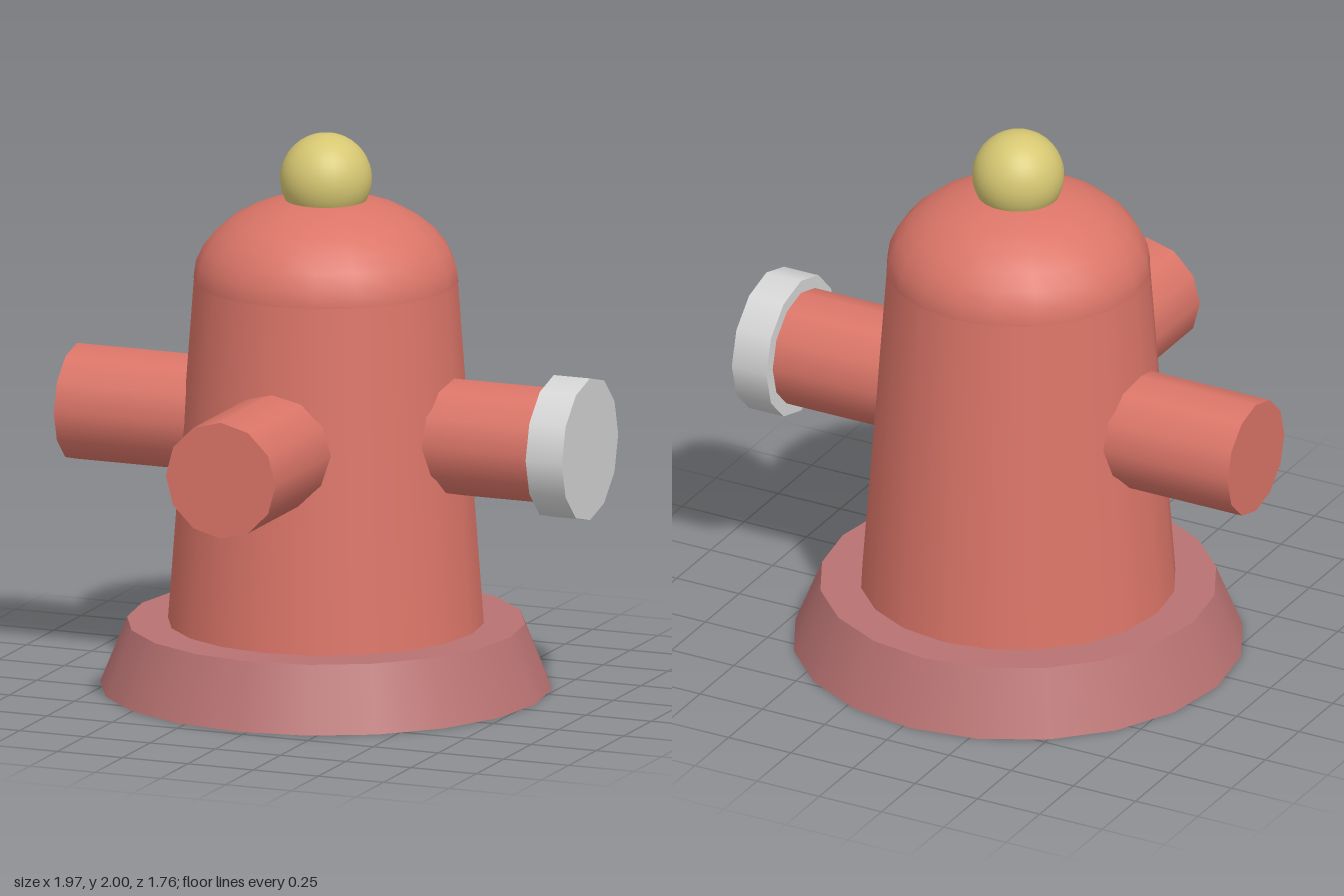
import * as THREE from 'three';

const flat = (name, color) => {
  const m = new THREE.MeshStandardMaterial({ color });
  m.name = name;
  return m;
};

export function createModel() {
  const red = flat('hydrant red', 0xdb7568);
  const rose = flat('base rose', 0xb97272);
  const brass = flat('knob yellow', 0xd6c772);
  const steel = flat('cap grey', 0xd6d6d6);

  const group = new THREE.Group();
  group.name = 'hydrant';
  // All parts share one vertical axis, set slightly off centre
  group.position.set(-0.03, 0, -0.08);

  const add = (name, geometry, material, x = 0, y = 0, z = 0) => {
    const mesh = new THREE.Mesh(geometry, material);
    mesh.name = name;
    mesh.position.set(x, y, z);
    group.add(mesh);
    return mesh;
  };

  // Flared foot and tapering barrel
  add('base', new THREE.CylinderGeometry(0.705, 0.8, 0.235, 20), rose, 0, 0.1175);
  add('barrel', new THREE.CylinderGeometry(0.468, 0.56, 1.235, 20), red, 0, 0.8525);

  // Squashed half sphere on top of the barrel
  const dome = new THREE.SphereGeometry(0.47, 20, 8, 0, Math.PI * 2, 0, Math.PI / 2);
  dome.scale(1, 0.31 / 0.47, 1);
  add('dome', dome, red, 0, 1.47);

  // Ball knob
  add('knob', new THREE.SphereGeometry(0.163, 32, 20), brass, 0, 1.837);

  // Outlets: radial cylinders between two distances from the axis
  const outlet = (name, radius, from, to, turn, material) => {
    const g = new THREE.CylinderGeometry(radius, radius, to - from, 12);
    g.rotateX(Math.PI / 2);
    g.translate(0, 0, (from + to) / 2);
    g.rotateY(turn);
    add(name, g, material, 0, 0.945);
  };
  outlet('frontOutlet', 0.21, 0.2, 0.96, 0, red);
  outlet('leftOutlet', 0.21, 0.2, 0.9, Math.PI / 2, red);
  outlet('rightOutlet', 0.21, 0.2, 0.955, -Math.PI / 2, red);
  outlet('leftOutletCap', 0.257, 0.873, 1.012, Math.PI / 2, steel);

  const model = new THREE.Group();
  model.name = 'model';
  model.add(group);
  return model;
}
